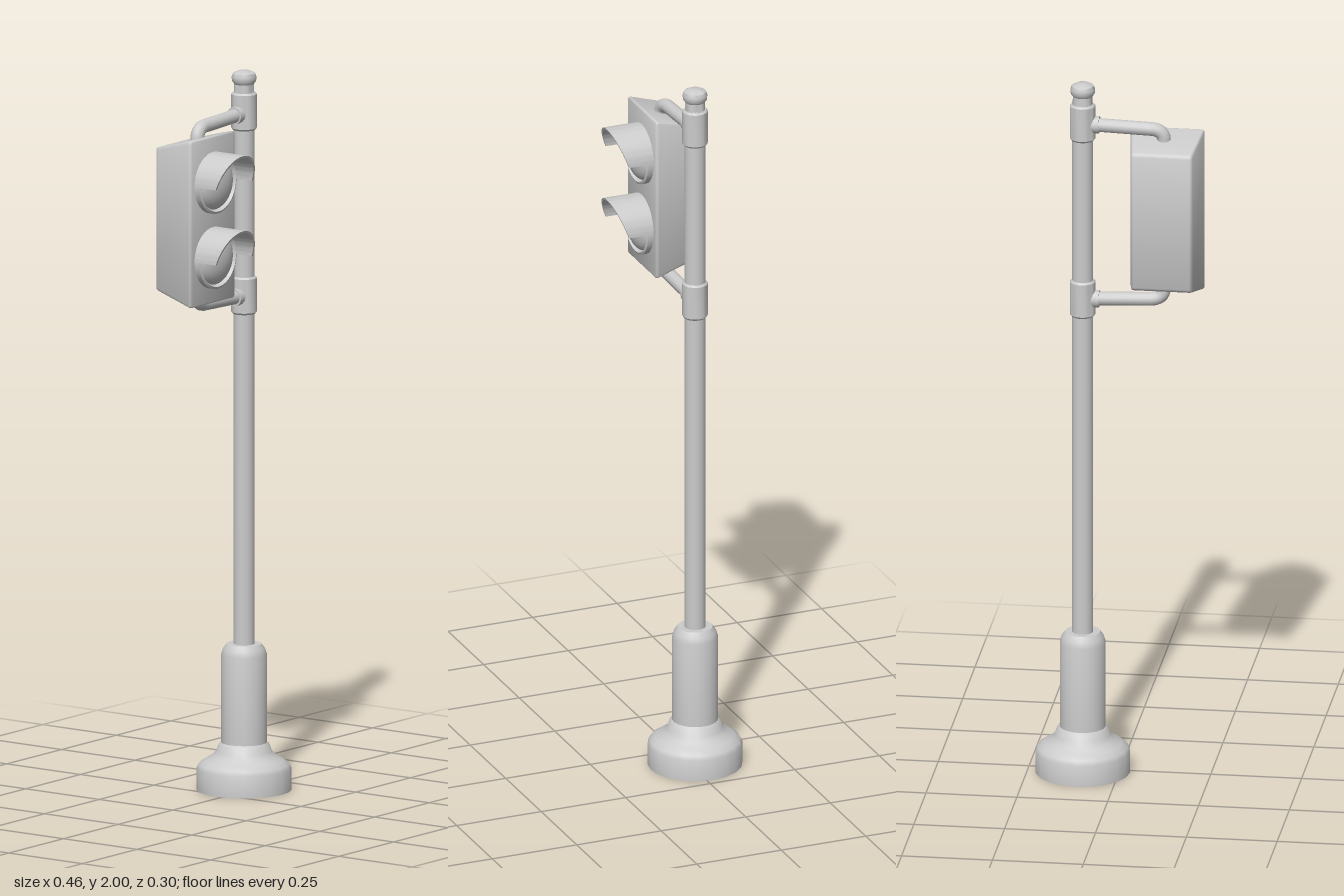
import * as THREE from 'three';
import { toCreasedNormals } from 'three/addons/utils/BufferGeometryUtils.js';
import { RoundedBoxGeometry } from 'three/addons/geometries/RoundedBoxGeometry.js';

const material = new THREE.MeshStandardMaterial({ color: 0xcccccc });
const POLE = { x: 0.1, z: -0.018 };
const LAMP_X = -0.126, FRONT_Z = 0.045;

function addMesh(parent, name, geometry, x = 0, y = 0, z = 0) {
  const mesh = new THREE.Mesh(geometry, material);
  mesh.name = name;
  mesh.position.set(x, y, z);
  parent.add(mesh);
  return mesh;
}

// Turned part from [radius, height] pairs, listed from bottom to top
function turned(points, segments = 20) {
  const profile = points.map(([r, y]) => new THREE.Vector2(r, y));
  return toCreasedNormals(new THREE.LatheGeometry(profile, segments), 0.65);
}

// Housing: rounded box that narrows towards the back
function housingGeometry() {
  const depth = 0.135;
  const geometry = new RoundedBoxGeometry(0.206, 0.468, depth, 3, 0.009);
  const p = geometry.attributes.position;
  for (let i = 0; i < p.count; i++) {
    const t = 0.5 - p.getZ(i) / depth;
    p.setX(i, p.getX(i) * (1 - 0.19 * t));
    p.setY(i, p.getY(i) * (1 - 0.155 * t));
  }
  return toCreasedNormals(geometry, 0.6);
}

// Visor: half tube whose front edge reaches furthest at the top
function visorGeometry() {
  const outer = 0.085, inner = 0.079;
  const shape = new THREE.Shape();
  shape.absarc(0, 0, outer, 0, Math.PI, false);
  shape.absarc(0, 0, inner, Math.PI, 0, true);
  shape.closePath();
  const geometry = new THREE.ExtrudeGeometry(shape, { depth: 1, bevelEnabled: false, curveSegments: 20 });
  const p = geometry.attributes.position;
  for (let i = 0; i < p.count; i++) {
    p.setZ(i, p.getZ(i) * (0.072 + 0.03 * p.getY(i) / outer));
  }
  return toCreasedNormals(geometry, 0.6);
}

// One signal lamp: ring, domed lens and visor
function createLamp(name) {
  const lamp = new THREE.Group();
  lamp.name = name;
  const ring = turned([[0.085, -0.01], [0.085, 0.016], [0.079, 0.019], [0.074, 0.012], [0.074, -0.01]], 32);
  ring.rotateX(Math.PI / 2);
  addMesh(lamp, 'lampRing', ring);
  const lens = new THREE.SphereGeometry(0.076, 32, 10, 0, Math.PI * 2, 0, Math.PI / 2);
  lens.rotateX(Math.PI / 2);
  lens.scale(1, 1, 0.48);
  addMesh(lamp, 'lens', lens);
  addMesh(lamp, 'visor', visorGeometry());
  return lamp;
}

// Bent arm from the pole to the housing; dir is 1 above it and -1 below
function armGeometry(y, dir) {
  const path = new THREE.CurvePath();
  const v = (x, dy, z) => new THREE.Vector3(x, y + dir * dy, z);
  const bendStart = v(-0.085, -0.006, -0.016);
  const bendEnd = v(-0.123, -0.04, -0.011);
  path.add(new THREE.LineCurve3(v(POLE.x - 0.02, 0, POLE.z), bendStart));
  path.add(new THREE.QuadraticBezierCurve3(bendStart, v(-0.123, -0.007, -0.012), bendEnd));
  path.add(new THREE.LineCurve3(bendEnd, v(-0.123, -0.06, -0.011)));
  return new THREE.TubeGeometry(path, 40, 0.019, 14, false);
}

export function createModel() {
  const model = new THREE.Group();
  model.name = 'trafficLight';

  // Post: flared foot, shaft and finial
  const post = new THREE.Group();
  post.name = 'post';
  post.position.set(POLE.x, 0, POLE.z);
  model.add(post);
  addMesh(post, 'foot', turned([
    [0, 0], [0.13, 0], [0.13, 0.06], [0.124, 0.072], [0.108, 0.083], [0.088, 0.095],
    [0.076, 0.109], [0.07, 0.126], [0.063, 0.132], [0.063, 0.375], [0.058, 0.392],
    [0.048, 0.406], [0, 0.406],
  ]));
  addMesh(post, 'shaft', new THREE.CylinderGeometry(0.029, 0.029, 1.56, 20), 0, 1.16);
  addMesh(post, 'finial', turned([
    [0.028, 1.93], [0.027, 1.962], [0.033, 1.97], [0.034, 1.982], [0.03, 1.992], [0.018, 1.998], [0, 2],
  ]));

  // Clamps and arms above and below the housing
  for (const [prefix, clampY, armY, dir] of [['upper', 1.887, 1.88, 1], ['lower', 1.376, 1.374, -1]]) {
    addMesh(post, prefix + 'Clamp', turned([
      [0, -0.052], [0.031, -0.052], [0.035, -0.047], [0.035, 0.047], [0.031, 0.052], [0, 0.052],
    ]), 0, clampY);
    const socket = new THREE.CylinderGeometry(0.024, 0.024, 0.04, 16);
    socket.rotateZ(Math.PI / 2);
    addMesh(post, prefix + 'Socket', socket, -0.026, armY);
    addMesh(model, prefix + 'Arm', armGeometry(armY, dir));
  }

  // Signal head
  addMesh(model, 'housing', housingGeometry(), LAMP_X, 1.627, FRONT_Z - 0.0675);
  for (const [name, y] of [['upperLamp', 1.731], ['lowerLamp', 1.522]]) {
    const lamp = createLamp(name);
    lamp.position.set(LAMP_X, y, FRONT_Z);
    model.add(lamp);
  }
  return model;
}
